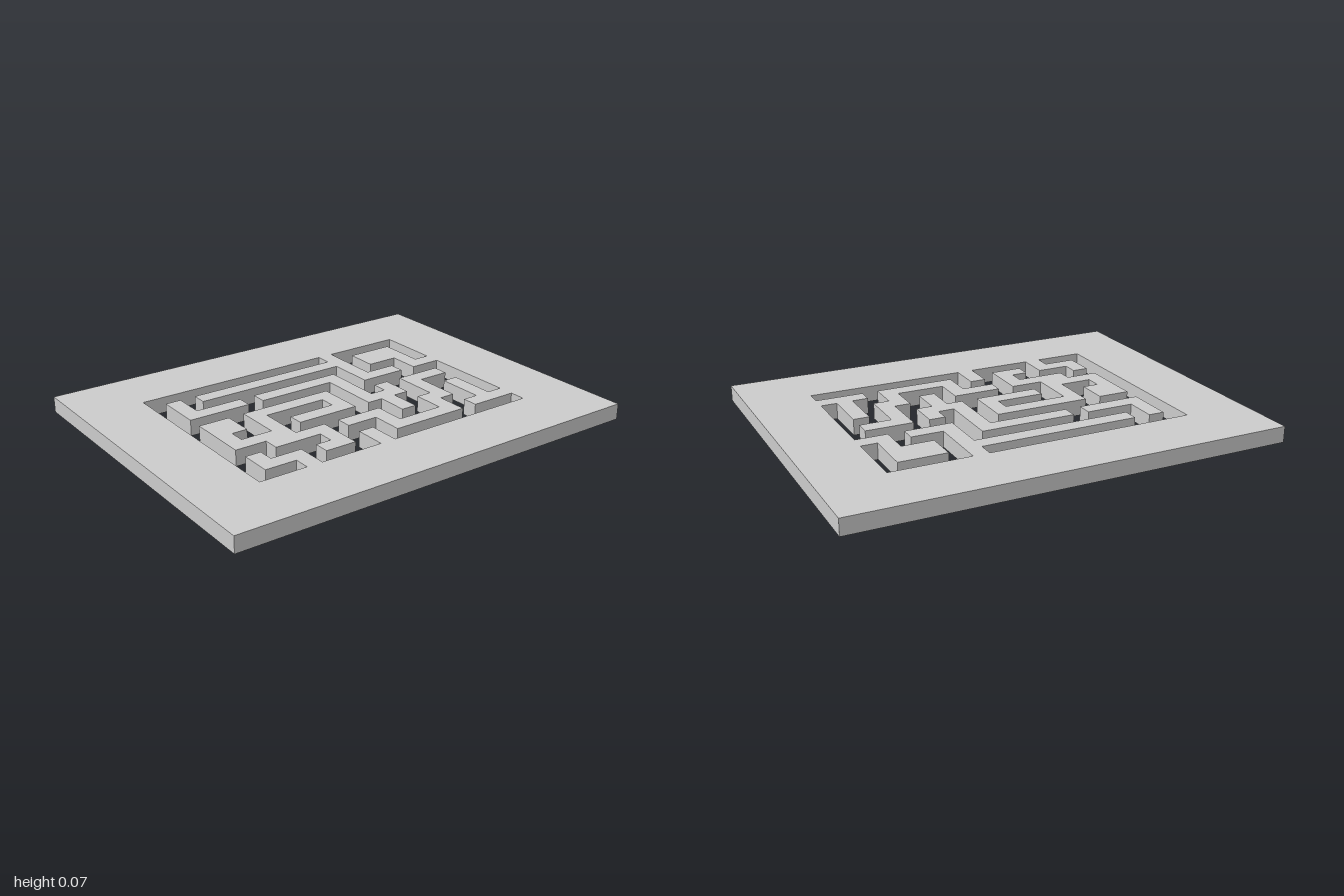
import * as THREE from 'three';

// Maze plan seen from above, back row first: # is wall, . is cut right through
const MAZE = [
  '.............#.....',
  '.#.###########.###.',
  '.#...........#.###.',
  '.####.######.#...#.',
  '...........#.###.##',
  '.##.######.#.......',
  '.##.#....#.#.#.###.',
  '.#..#.####.###.#...',
  '.####.......#..#.#.',
  '...####.###.#.##.#.',
  '.#....#...#...#..#.',
  '.###.##.#.#####.###',
  '...#....#..........',
];
const MARGIN = 4; // solid border, in cells
const COLS = MAZE[0].length + 2 * MARGIN;
const ROWS = MAZE.length + 2 * MARGIN;
const CELL = 2 / COLS; // also the thickness of the plate

function isSolid(c, r) {
  if (c < 0 || r < 0 || c >= COLS || r >= ROWS) return false;
  const row = MAZE[r - MARGIN];
  const cell = row && row[c - MARGIN];
  return cell === undefined || cell === '#';
}

// Follow the boundary between wall and gap, keeping only the corners
function traceOutlines() {
  const next = new Map();
  const link = (c0, r0, c1, r1) => next.set(`${c0},${r0}`, [c1, r1]);
  for (let r = 0; r < ROWS; r++) {
    for (let c = 0; c < COLS; c++) {
      if (!isSolid(c, r)) continue;
      if (!isSolid(c, r + 1)) link(c, r + 1, c + 1, r + 1);
      if (!isSolid(c + 1, r)) link(c + 1, r + 1, c + 1, r);
      if (!isSolid(c, r - 1)) link(c + 1, r, c, r);
      if (!isSolid(c - 1, r)) link(c, r, c, r + 1);
    }
  }
  const loops = [];
  while (next.size) {
    const steps = [];
    let key = next.keys().next().value;
    while (next.has(key)) {
      const point = next.get(key);
      next.delete(key);
      steps.push(point);
      key = point.join();
    }
    const n = steps.length;
    const corners = steps.filter((p, i) => {
      const a = steps[(i + n - 1) % n];
      const b = steps[(i + 1) % n];
      return a[0] !== b[0] && a[1] !== b[1];
    });
    loops.push(corners.map(([c, r]) => new THREE.Vector2((c - COLS / 2) * CELL, (ROWS / 2 - r) * CELL)));
  }
  return loops;
}

export function createModel() {
  const group = new THREE.Group();
  group.name = 'mazePlate';
  const material = new THREE.MeshStandardMaterial({ color: 0xcccccc });

  const addSlab = (name, shape) => {
    const geometry = new THREE.ExtrudeGeometry(shape, { depth: CELL, bevelEnabled: false });
    geometry.rotateX(-Math.PI / 2);
    const mesh = new THREE.Mesh(geometry, material);
    mesh.name = name;
    group.add(mesh);
  };

  // Counter-clockwise loops bound solid pieces, clockwise loops bound openings
  const loops = traceOutlines();
  const area = THREE.ShapeUtils.area;
  const solids = loops.filter((l) => area(l) > 0).sort((a, b) => area(b) - area(a));
  const openings = loops.filter((l) => area(l) < 0);

  // Border plate with the maze passages cut out of it
  const border = new THREE.Shape(solids[0]);
  border.holes = openings.map((l) => new THREE.Path(l));
  addSlab('borderPlate', border);

  // Free-standing wall pieces between the passages
  solids.slice(1).forEach((l, i) => addSlab(`mazeWall${i + 1}`, new THREE.Shape(l)));

  return group;
}
